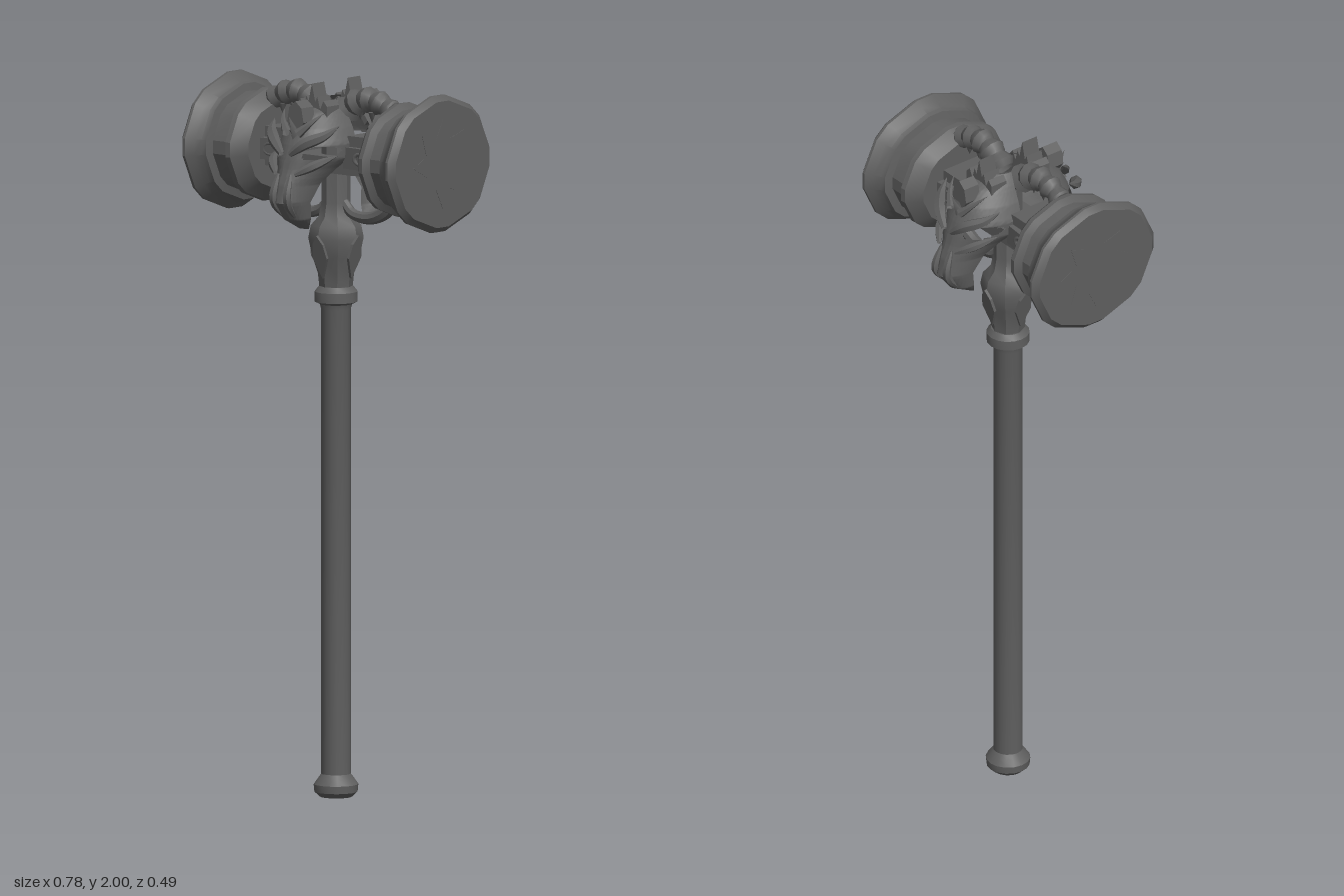
import * as THREE from 'three';
import { toCreasedNormals } from 'three/addons/utils/BufferGeometryUtils.js';

const iron = new THREE.MeshStandardMaterial({ color: 0x5f5f5f, side: THREE.DoubleSide });
iron.name = 'dark iron';

const V = (x, y, z) => new THREE.Vector3(x, y, z);
const P = (a) => a.map(([x, y]) => new THREE.Vector2(x, y));

function add(parent, name, geo, x = 0, y = 0, z = 0) {
  const m = new THREE.Mesh(geo, iron);
  m.name = name;
  m.position.set(x, y, z);
  parent.add(m);
  return m;
}

// linear interpolation in a table of [key, value...] rows
function lerpRow(rows, t, c) {
  let i = 0;
  while (i < rows.length - 2 && t > rows[i + 1][0]) i++;
  const a = rows[i], b = rows[i + 1];
  return THREE.MathUtils.lerp(a[c], b[c], THREE.MathUtils.clamp((t - a[0]) / (b[0] - a[0]), 0, 1));
}

// tube whose radius follows radius(t)
function taperedTube(points, segs, sides, radius) {
  const curve = new THREE.CatmullRomCurve3(points);
  const geo = new THREE.TubeGeometry(curve, segs, 1, sides);
  const p = geo.attributes.position, v = V(0, 0, 0);
  for (let i = 0; i < p.count; i++) {
    const t = Math.floor(i / (sides + 1)) / segs, c = curve.getPointAt(t);
    v.fromBufferAttribute(p, i).sub(c).multiplyScalar(radius(t)).add(c);
    p.setXYZ(i, v.x, v.y, v.z);
  }
  return toCreasedNormals(geo, 0.7);
}

// octagonal striking block with bevelled corners, along +x
function blockGeometry() {
  const prof = P([[0, .2], [.14, .2], [.178, .235], [.18, .25], [.16, .262], [.16, .312],
    [.184, .317], [.188, .33], [.2, .346], [.217, .366], [.217, .374], [.2, .39], [0, .39]]);
  const geo = new THREE.LatheGeometry(prof, 16);
  const p = geo.attributes.position;
  for (let i = 0; i < p.count; i++) {
    const s = Math.floor(i / prof.length), r = prof[i % prof.length].x;
    const a = Math.floor(s / 2) * Math.PI / 4 + (s % 2 ? 0.13 : -0.13);
    p.setX(i, r * Math.sin(a));
    p.setZ(i, r * Math.cos(a));
  }
  geo.rotateZ(-Math.PI / 2);
  geo.scale(1, 0.885, 1);
  return toCreasedNormals(geo, 0.42);
}

// raised eight-pointed star
function starGeometry() {
  const pts = [];
  for (let i = 0; i < 16; i++) {
    const r = i % 2 ? 0.075 : 0.125, a = i * Math.PI / 8;
    pts.push([r * Math.sin(a), r * Math.cos(a)]);
  }
  const geo = new THREE.ExtrudeGeometry(new THREE.Shape(P(pts)), { depth: 0.004, bevelEnabled: false });
  return geo.rotateY(Math.PI / 2);
}

// horned skull shell: rows of [y, half width, ridge z, edge z]
function maskGeometry() {
  const rows = [[1.60, .018, .145, .135], [1.63, .038, .205, .15], [1.68, .046, .243, .16],
    [1.73, .056, .232, .13], [1.77, .08, .215, .09], [1.80, .104, .205, .06], [1.84, .11, .19, .04],
    [1.88, .092, .17, .035], [1.92, .066, .13, .03], [1.95, .04, .07, .02]];
  const nu = 64, nv = 70, pos = [], idx = [];
  for (let j = 0; j <= nv; j++) {
    const y = 1.6 + 0.35 * j / nv;
    const [w, zc, ze] = [1, 2, 3].map((c) => lerpRow(rows, y, c));
    for (let i = 0; i <= nu; i++) {
      const a = (i / nu - 0.5) * Math.PI;
      pos.push(w * Math.sin(a), y, ze + (zc - ze) * Math.cos(a));
    }
  }
  const n = nu + 1;
  for (let j = 0; j < nv; j++) for (let i = 0; i < nu; i++) {
    const k = j * n + i;
    // slanted eye openings
    const x = Math.abs(pos[3 * k] + pos[3 * k + 3]) / 2 - 0.07;
    const y = pos[3 * k + 1] + 0.0025 - 1.818 - 0.15 * x;
    if ((x / 0.032) ** 2 + (y / 0.018) ** 2 < 1) continue;
    idx.push(k, k + 1, k + n + 1, k, k + n + 1, k + n);
  }
  const geo = new THREE.BufferGeometry();
  geo.setAttribute('position', new THREE.Float32BufferAttribute(pos, 3));
  geo.setIndex(idx);
  return toCreasedNormals(geo, 0.5);
}

function plate(pts, depth) {
  return new THREE.ExtrudeGeometry(new THREE.Shape(P(pts)), { depth, bevelEnabled: false });
}

function buildMask() {
  const g = new THREE.Group();
  g.name = 'skullMask';
  add(g, 'skullShell', maskGeometry());
  // crown of spikes and the gem on the forehead
  add(g, 'crownSpikes', plate([[-.055, 1.9], [-.055, 1.94], [-.042, 1.955], [-.03, 1.93], [-.02, 1.965],
    [-.012, 1.95], [0, 2], [.012, 1.95], [.02, 1.965], [.03, 1.93], [.042, 1.955], [.055, 1.94], [.055, 1.9]], .052), 0, 0, .05);
  add(g, 'foreheadGem', plate([[0, 1.86], [-.03, 1.9], [-.022, 1.94], [0, 1.958], [.022, 1.94], [.03, 1.9]], .05), 0, 0, .122);
  add(g, 'foreheadSpike', new THREE.ConeGeometry(.025, .09, 4).rotateX(0.5), 0, 1.88, .178);
  for (const s of [-1, 1]) {
    // brows, cheek blades and nostril ridges
    add(g, 'browBlade', taperedTube([V(s * .015, 1.815, .213), V(s * .055, 1.846, .196), V(s * .095, 1.868, .16),
      V(s * .118, 1.895, .122)], 12, 6, (t) => .017 * Math.sin(Math.PI * (0.15 + 0.83 * t))));
    add(g, 'cheekBlade', taperedTube([V(s * .035, 1.76, .216), V(s * .075, 1.785, .18), V(s * .108, 1.81, .12)],
      10, 6, (t) => .013 * Math.sin(Math.PI * (0.15 + 0.83 * t))));
    add(g, 'crestBlade', taperedTube([V(s * .02, 1.87, .185), V(s * .05, 1.9, .165), V(s * .075, 1.93, .13)],
      8, 6, (t) => .014 * (1 - t)));
    add(g, 'muzzleRidge', taperedTube([V(s * .022, 1.76, .218), V(s * .025, 1.69, .236), V(s * .02, 1.63, .19)],
      10, 6, (t) => .012 * Math.sin(Math.PI * (0.1 + 0.85 * t))));
  }
  return g;
}

export function createModel() {
  const model = new THREE.Group();
  model.name = 'warHammer';

  // shaft with pommel
  const shaft = new THREE.LatheGeometry(P([[0, 0], [.045, 0], [.06, .014], [.062, .035], [.05, .052], [.041, .064],
    [.041, 1.36], [.045, 1.375], [.06, 1.382], [.06, 1.41], [.048, 1.425], [0, 1.425]]), 16);
  add(model, 'handle', toCreasedNormals(shaft, 0.6));

  // flared socket below the head and the core inside it
  const socket = new THREE.LatheGeometry(P([[.046, 1.42], [.05, 1.46], [.066, 1.51], [.077, 1.56], [.07, 1.595],
    [.048, 1.62], [.04, 1.66], [.04, 1.9], [0, 1.92]]), 8);
  add(model, 'socket', toCreasedNormals(socket, 0.5));
  for (let i = 0; i < 4; i++) {
    const leaf = add(model, 'socketLeaf', plate([[0, -.07], [-.026, -.01], [-.018, .03], [0, .055], [.018, .03], [.026, -.01]], .008));
    const a = i * Math.PI / 2;
    leaf.rotation.set(0.22, a, 0, 'YXZ');
    leaf.position.set(.064 * Math.sin(a), 1.52, .064 * Math.cos(a));
  }

  // cross beam under the eye line
  add(model, 'crossBeam', new THREE.BoxGeometry(.24, .045, .136), 0, 1.772, 0);

  // one half of the head, then its twin turned about y
  for (const s of [1, -1]) {
    const half = new THREE.Group();
    half.name = s > 0 ? 'leftHeadHalf' : 'rightHeadHalf';
    half.rotation.y = s > 0 ? 0 : Math.PI;
    model.add(half);
    add(half, 'strikingBlock', blockGeometry(), 0, 1.8, 0);
    add(half, 'faceStar', starGeometry(), .387, 1.8, 0);
    add(half, 'beam', new THREE.BoxGeometry(.115, .11, .136), .1575, 1.805, 0);
    // side panels that widen toward the block
    const panel = new THREE.BoxGeometry(.12, .06, .16);
    const p = panel.attributes.position;
    for (let i = 0; i < p.count; i++) if (p.getX(i) > 0) p.setZ(i, p.getZ(i) * 1.15);
    panel.computeVertexNormals();
    add(half, 'beamPanel', panel, .155, 1.8, 0);
    for (const z of [-1, 1]) {
      const knot = add(half, 'beamKnot', new THREE.TorusGeometry(.016, .005, 6, 12), .165, 1.8, z * .085);
      knot.scale.x = 1.6;
    }
    // lower hoop joining block and socket
    add(half, 'lowerHoop', taperedTube([V(.03, 1.66, 0), V(.06, 1.632, 0), V(.12, 1.624, 0), V(.18, 1.645, 0), V(.225, 1.69, 0)],
      20, 8, (t) => .014 + .007 * t));
    // ribbed horn
    add(half, 'ribbedHorn', taperedTube([V(.035, 1.91, s * .012), V(.075, 1.94, s * .012), V(.125, 1.957, s * .012),
      V(.175, 1.95, s * .012), V(.23, 1.925, s * .012)], 30, 10,
      (t) => (.031 + .012 * (1 - Math.abs(((t * 5) % 1) * 2 - 1))) * (1 - .25 * t) * (t > 0.95 ? 0.3 : 1)));
    // small spikes under the horn
    for (let i = 0; i < 3; i++) {
      const spike = add(half, 'hornSpike', new THREE.ConeGeometry(.012, .03, 5), .1 + i * .042, 1.912 - i * .004, s * .012);
      spike.rotation.z = Math.PI;
    }
  }

  // skull masks, front and back
  const front = buildMask();
  const back = buildMask();
  back.rotation.y = Math.PI;
  model.add(front, back);
  return model;
}
